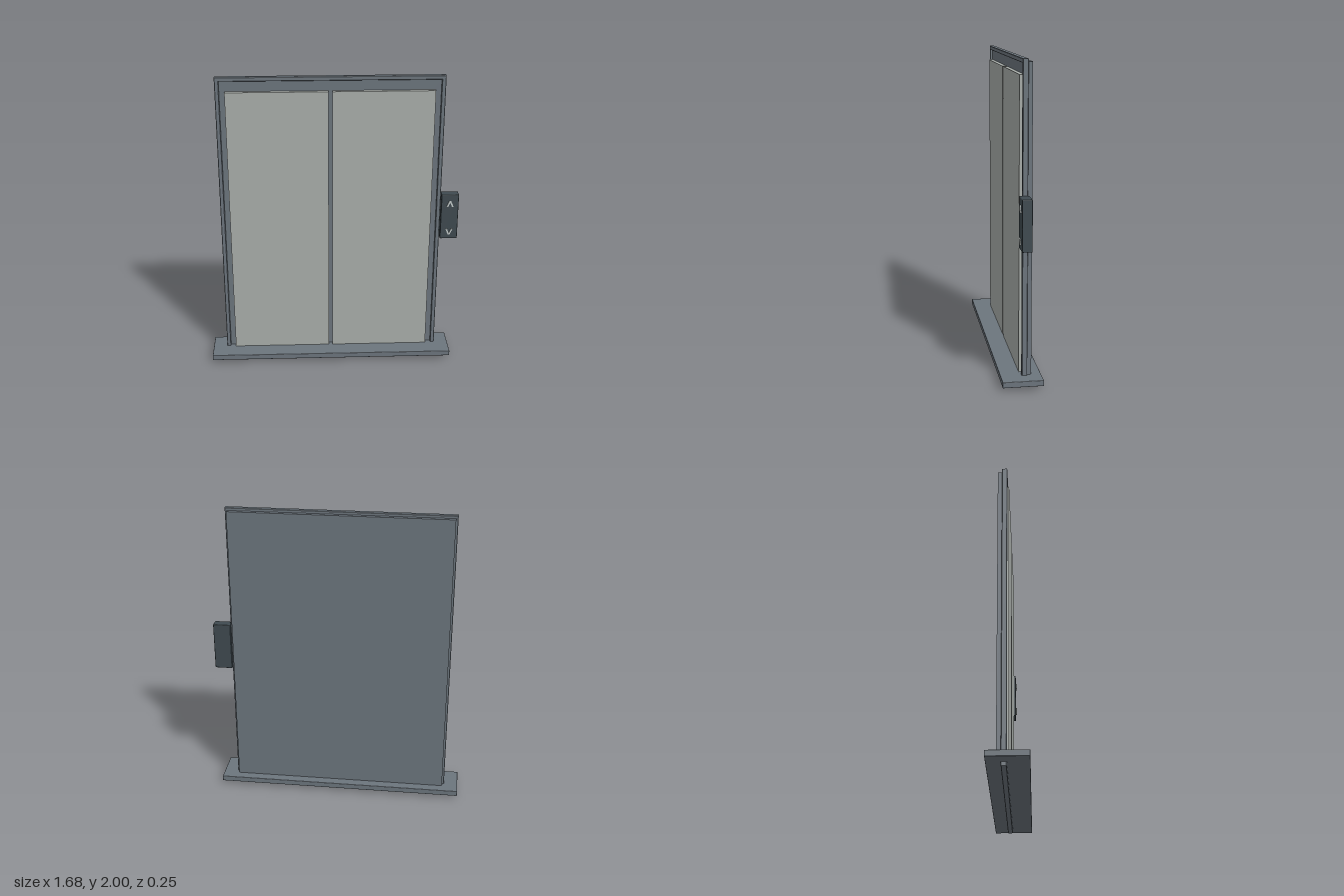
import * as THREE from 'three';
import { RoundedBoxGeometry } from 'three/addons/geometries/RoundedBoxGeometry.js';

const material = (name, color) => {
  const m = new THREE.MeshStandardMaterial({ color });
  m.name = name;
  return m;
};

export function createModel() {
  const steel = material('frame steel', 0x6c757d);
  const panel = material('door panel grey', 0xa9aeaa);
  const dark = material('dark housing', 0x3f4a50);
  const light = material('arrow light grey', 0xc4cccb);

  const group = new THREE.Group();
  group.name = 'slidingDoor';

  const add = (name, geometry, mat) => {
    const mesh = new THREE.Mesh(geometry, mat);
    mesh.name = name;
    group.add(mesh);
    return mesh;
  };

  // Box given by its limits on each axis, optionally with softened edges
  const block = (name, mat, [x0, x1], [y0, y1], [z0, z1], radius = 0) => {
    const size = [x1 - x0, y1 - y0, z1 - z0];
    const geometry = radius
      ? new RoundedBoxGeometry(...size, 2, radius)
      : new THREE.BoxGeometry(...size);
    add(name, geometry, mat).position.set((x0 + x1) / 2, (y0 + y1) / 2, (z0 + z1) / 2);
  };

  const rectangle = (shape, x0, x1, y0, y1) => shape
    .moveTo(x0, y0).lineTo(x1, y0).lineTo(x1, y1).lineTo(x0, y1).closePath();

  // Outer frame with a slightly bevelled edge
  const bevel = 0.003;
  const outline = rectangle(new THREE.Shape(), -0.747 + bevel, 0.717 - bevel, bevel, 2 - bevel);
  outline.holes.push(rectangle(new THREE.Path(), -0.72 - bevel, 0.69 + bevel, 0.04, 1.973 + bevel));
  const frame = new THREE.ExtrudeGeometry(outline, {
    depth: 0.034 - 2 * bevel, bevelEnabled: true,
    bevelThickness: bevel, bevelSize: bevel, bevelSegments: 1,
  });
  add('frame', frame, steel).position.z = -0.039 + bevel;

  // Recessed backing, rear panel and floor sill
  block('backing', steel, [-0.725, 0.695], [0.03, 1.978], [-0.04, -0.022]);
  block('rearPanel', steel, [-0.733, 0.703], [0.03, 1.982], [-0.066, -0.038]);
  block('sill', steel, [-0.84, 0.81], [0.024, 0.061], [-0.127, 0.127], 0.003);

  // Pair of sliding leaves with a narrow gap between them
  for (const [name, x] of [['rightDoor', -0.685], ['leftDoor', -0.003]]) {
    block(name, panel, [x, x + 0.656], [0.055, 1.904], [-0.024, 0.005]);
  }

  // Call button housing beside the frame
  block('buttonHousing', dark, [0.72, 0.836], [0.877, 1.195], [-0.047, 0.016], 0.005);

  // Raised up and down chevrons
  const chevron = new THREE.Shape([
    [-0.024, -0.021], [-0.006, 0.021], [0.006, 0.021], [0.024, -0.021],
    [0.013, -0.021], [0, 0.01], [-0.013, -0.021],
  ].map(([x, y]) => new THREE.Vector2(x, y)));
  const chevronGeometry = new THREE.ExtrudeGeometry(chevron, { depth: 0.008, bevelEnabled: false });
  for (const [name, y, turn] of [['upArrow', 1.131, 0], ['downArrow', 0.929, Math.PI]]) {
    const arrow = add(name, chevronGeometry, light);
    arrow.position.set(0.778, y, 0.015);
    arrow.rotation.z = turn;
  }

  return group;
}
